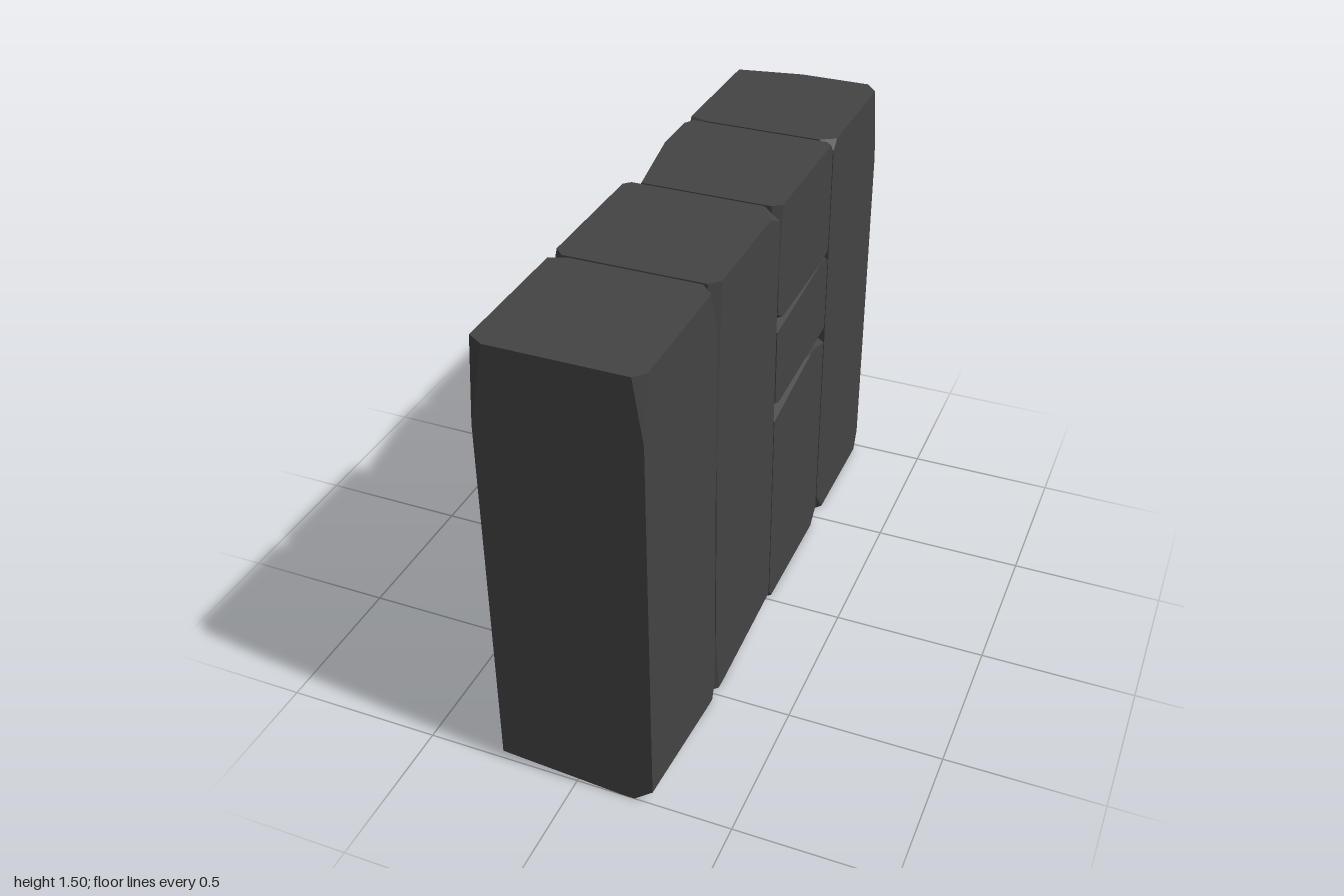
import * as THREE from 'three';
import { ConvexGeometry } from 'three/addons/geometries/ConvexGeometry.js';

const stone = new THREE.MeshStandardMaterial({ color: 0x444444, flatShading: true });

// A block whose eight corners are each knocked off by a plane.
// Chips are keyed by the signs of x, y, z and give the cut length along each edge.
function chippedBlock(name, y0, y1, z0, z1, chips) {
  const points = [];
  for (const sx of [-1, 1]) for (const sy of [-1, 1]) for (const sz of [-1, 1]) {
    const key = [sx, sy, sz].map((s) => (s > 0 ? '+' : '-')).join('');
    const [dx, dy, dz] = chips[key] ?? [0.02, 0.03, 0.02];
    const x = sx * 0.249, y = sy > 0 ? y1 : y0, z = sz > 0 ? z1 : z0;
    points.push(
      new THREE.Vector3(x - sx * dx, y, z),
      new THREE.Vector3(x, y - sy * dy, z),
      new THREE.Vector3(x, y, z - sz * dz),
    );
  }
  const mesh = new THREE.Mesh(new ConvexGeometry(points), stone);
  mesh.name = name;
  return mesh;
}

export function createModel() {
  const wall = new THREE.Group();
  wall.name = 'stoneWall';
  wall.add(
    // Tall upright blocks at the front end
    chippedBlock('frontPillar', 0, 1.5, 0.505, 1, {
      '-++': [0.05, 0.26, 0.03], '+++': [0.03, 0.2, 0.03],
      '--+': [0.40, 0.03, 0.04], '+-+': [0.06, 0.05, 0.45],
      '++-': [0.04, 0.12, 0.04], '+--': [0.04, 0.06, 0.02],
      '-+-': [0.05, 0.03, 0.02], '---': [0.03, 0.05, 0.04],
    }),
    chippedBlock('secondPillar', 0, 1.5, 0.003, 0.498, {
      '+++': [0.03, 0.65, 0.03], '+-+': [0.03, 0.25, 0.03],
      '++-': [0.05, 0.04, 0.08], '+--': [0.06, 0.03, 0.42],
      '-++': [0.03, 0.06, 0.03], '-+-': [0.02, 0.04, 0.02],
      '---': [0.05, 0.06, 0.05],
    }),
    // Stack of three shorter blocks
    chippedBlock('lowerBlock', 0, 0.79, -0.496, -0.004, {
      '+++': [0.1, 0.05, 0.36], '++-': [0.05, 0.03, 0.1],
      '+--': [0.03, 0.05, 0.05], '+-+': [0.03, 0.03, 0.02],
      '--+': [0.04, 0.05, 0.04], '-++': [0.02, 0.02, 0.02],
    }),
    chippedBlock('middleBlock', 0.795, 1.1, -0.496, -0.006, {
      '+--': [0.08, 0.025, 0.44], '+-+': [0.05, 0.015, 0.03],
      '+++': [0.05, 0.03, 0.4], '++-': [0.03, 0.02, 0.03],
      '-++': [0.02, 0.02, 0.02], '---': [0.02, 0.015, 0.02],
    }),
    chippedBlock('upperBlock', 1.105, 1.5, -0.496, -0.004, {
      '-++': [0.05, 0.12, 0.3], '+++': [0.03, 0.25, 0.02],
      '+-+': [0.04, 0.03, 0.05], '+--': [0.03, 0.015, 0.06],
      '++-': [0.02, 0.03, 0.02], '-+-': [0.02, 0.03, 0.03],
    }),
    // Tall upright block at the back end
    chippedBlock('backPillar', 0, 1.5, -1, -0.504, {
      '++-': [0.04, 0.26, 0.05], '-+-': [0.22, 0.04, 0.04],
      '+-+': [0.06, 0.09, 0.07], '--+': [0.04, 0.32, 0.26],
      '+--': [0.06, 0.07, 0.03], '---': [0.2, 0.07, 0.06],
      '+++': [0.05, 0.03, 0.03], '-++': [0.06, 0.03, 0.02],
    }),
  );
  return wall;
}
